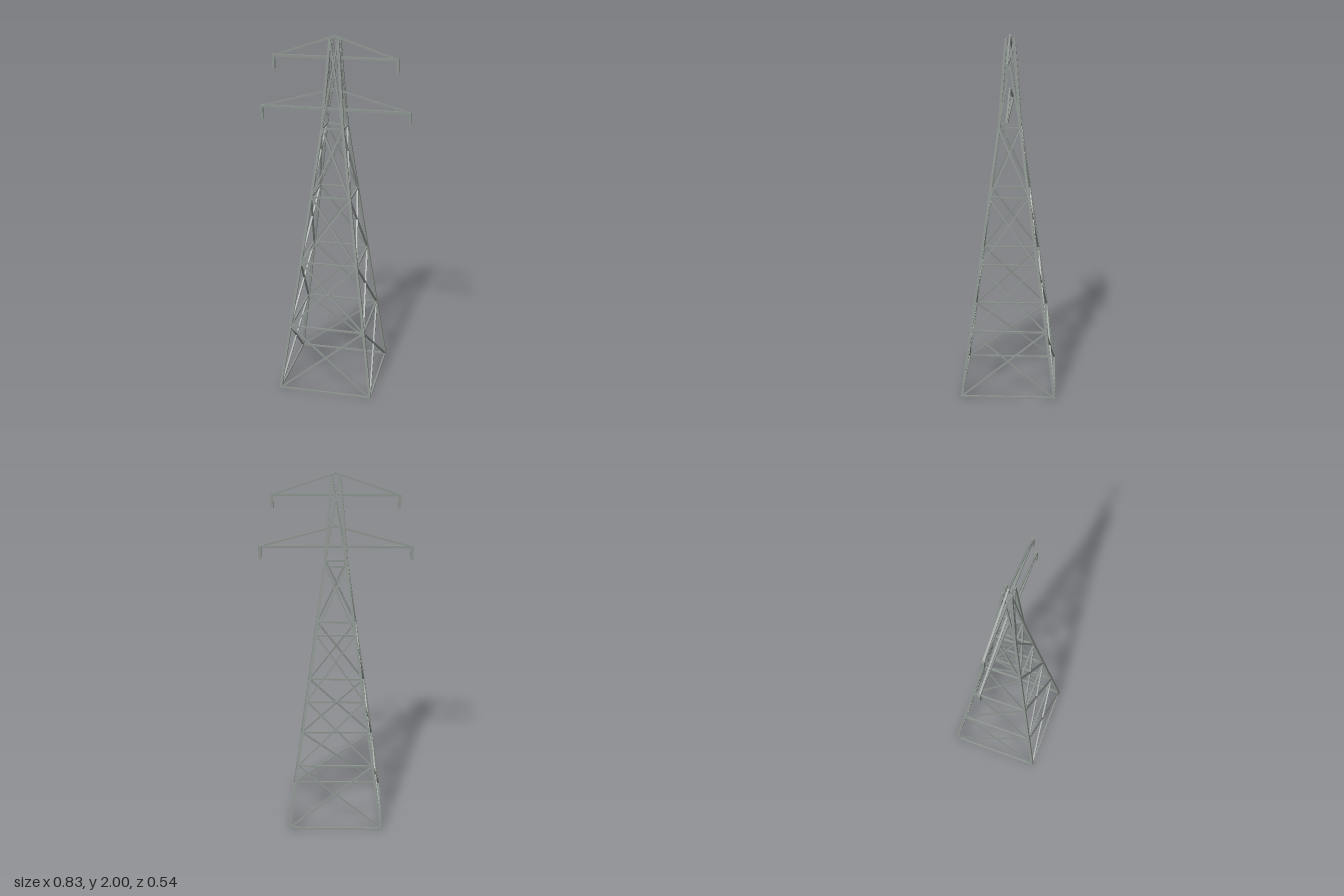
import * as THREE from 'three';

const UP = new THREE.Vector3(0, 1, 0);

export function createModel() {
  const tower = new THREE.Group();
  tower.name = 'latticeTower';
  const steel = new THREE.MeshStandardMaterial({ color: 0x8c938f });

  // Square steel strut between two points
  function strut(parent, name, a, b, size) {
    const from = new THREE.Vector3(...a);
    const dir = new THREE.Vector3(...b).sub(from);
    const mesh = new THREE.Mesh(new THREE.BoxGeometry(size, dir.length(), size), steel);
    mesh.name = name;
    mesh.position.copy(from).addScaledVector(dir, 0.5);
    mesh.quaternion.setFromUnitVectors(UP, dir.normalize());
    parent.add(mesh);
  }

  // Height and half width of the body at each level
  const levels = [[0.005, 0.262], [0.382, 0.211], [0.758, 0.159], [1.133, 0.108], [1.508, 0.058], [1.98, 0.022]];

  // Four identical sides, each with one leg, its horizontals and crossed braces
  for (let side = 0; side < 4; side++) {
    const face = new THREE.Group();
    face.name = 'towerSide';
    face.rotation.y = side * Math.PI / 2;
    levels.forEach(([y, w], i) => {
      if (i === levels.length - 1) return;
      const [y2, w2] = levels[i + 1];
      strut(face, 'leg', [w, y, w], [w2, y2, w2], 0.014);
      strut(face, 'horizontalBar', [-w, y, w], [w, y, w], 0.01);
      for (const s of [-1, 1]) {
        strut(face, 'diagonalBrace', [s * w, y, w], [-s * w2, y2, w2], 0.009);
      }
    });
    tower.add(face);
  }

  // Cross arms with sloping ties and hanging insulators
  for (const [half, y, apex, drop] of [[0.336, 1.883, 1.995, 0.07], [0.41, 1.603, 1.715, 0.072]]) {
    const arm = new THREE.Group();
    arm.name = 'crossArm';
    strut(arm, 'armBeam', [-half, y, 0], [half, y, 0], 0.014);
    for (const s of [-1, 1]) {
      strut(arm, 'armTie', [s * half, y, 0], [0, apex, 0], 0.01);
      strut(arm, 'insulator', [s * half, y + 0.007, 0], [s * half, y - drop, 0], 0.015);
    }
    tower.add(arm);
  }

  return tower;
}
